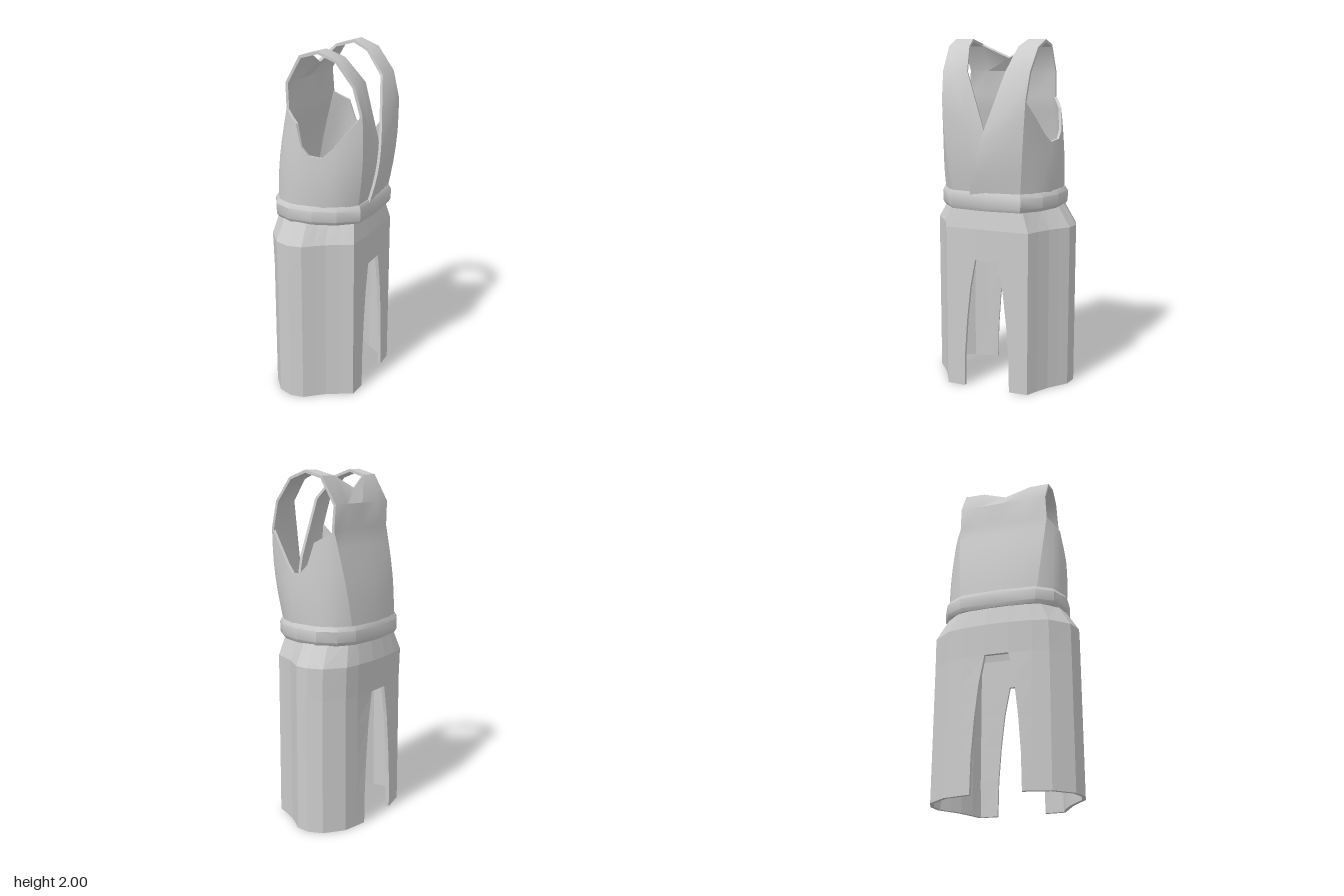
import * as THREE from 'three';
import { toCreasedNormals } from 'three/addons/utils/BufferGeometryUtils.js';

const V = (x, y, z) => new THREE.Vector3(x, y, z);

// Cloth sheet from columns of points, thickened inwards and closed at its borders.
function cloth(name, cols, thick, crease) {
  const n = cols.length, m = cols[0].length, pts = cols.flat();
  let quads = [];
  for (let i = 0; i < n - 1; i++)
    for (let j = 0; j < m - 1; j++)
      quads.push([i * m + j, (i + 1) * m + j, (i + 1) * m + j + 1, i * m + j + 1]);
  const normalsOf = () => {
    const g = new THREE.BufferGeometry().setFromPoints(pts);
    g.setIndex(quads.flatMap(([a, b, c, d]) => [a, b, c, a, c, d]));
    g.computeVertexNormals();
    return pts.map((_, i) => new THREE.Vector3().fromBufferAttribute(g.attributes.normal, i));
  };
  let normals = normalsOf();
  // Turn the sheet so it faces away from the body
  const facing = pts.reduce((s, p, i) => s + normals[i].dot(V(p.x, p.y > 1.7 ? p.y - 1.6 : 0, p.z)), 0);
  if (facing < 0) {
    quads = quads.map(q => q.slice().reverse());
    normals = normalsOf();
  }
  const inner = pts.map((p, i) => p.clone().addScaledVector(normals[i], -thick));
  const k = pts.length, faces = [...quads];
  const edges = new Set(quads.flatMap(q => q.map((a, i) => a + '_' + q[(i + 1) % 4])));
  for (const q of quads) {
    faces.push(q.map(a => a + k).reverse());
    q.forEach((a, i) => {
      const b = q[(i + 1) % 4];
      if (!edges.has(b + '_' + a)) faces.push([b, a, a + k, b + k]);
    });
  }
  return solid(name, [...pts, ...inner], faces, crease);
}

// Mesh from points and four-cornered faces
function solid(name, pts, faces, crease) {
  let g = new THREE.BufferGeometry().setFromPoints(pts);
  g.setIndex(faces.flatMap(([a, b, c, d]) => [a, b, c, a, c, d]));
  if (crease) g = toCreasedNormals(g, crease);
  else g.computeVertexNormals();
  const mat = new THREE.MeshStandardMaterial({ color: 0xcccccc, side: THREE.DoubleSide, flatShading: !crease });
  const mesh = new THREE.Mesh(g, mat);
  mesh.name = name;
  return mesh;
}

// Gently bulging bodice column from the waist up to a top point
function column([bx, bz], [tx, ty, tz]) {
  return Array.from({ length: 7 }, (_, i) => {
    const t = i / 6, s = Math.sin(Math.PI * t), l = THREE.MathUtils.lerp;
    return V(l(bx, tx, t) * (1 + 0.07 * s), l(1.12, ty, t), l(bz, tz, t) * (1 + 0.02 * s));
  });
}
const mirror = (cols, s) => cols.map(c => c.map(p => V(p.x, p.y, p.z * s)));
const midway = (a, b) => a.map((p, i) => p.clone().lerp(b[i], 0.5));

export function createModel() {
  const model = new THREE.Group();
  model.name = 'sleevelessWrapRobe';

  // Skirt: two wide panels separated by tapering slits
  const hip = [[0.24, 0.25], [0.17, 0.285], [0.10, 0.325], [0.05, 0.365], [-0.005, 0.412],
    [-0.085, 0.425], [-0.17, 0.395], [-0.255, 0.29], [-0.275, 0.2]];
  const levels = [[0, 0.14], [0.2, 0.136], [0.4, 0.122], [0.6, 0.1], [0.77, 0.068], [0.95, 0.068], [1.09, 0.068]];
  const hem = (x, y, z) => {
    const t = Math.max(0, (y - 0.95) / 0.14);
    const low = y < 0.95 && x < 0 ? 0.975 : 1;
    return V(x * (1 - 0.1 * t) * low, y, z * (1 - 0.2 * t));
  };
  const panel = [
    levels.map(([y, z]) => hem(0.245, y, z)),
    ...hip.map(([x, z]) => levels.map(([y]) => hem(x, y, z))),
    levels.map(([y, z]) => hem(-0.287, y, z)),
  ];
  model.add(cloth('leftSkirtPanel', panel, 0.02, 0));
  model.add(cloth('rightSkirtPanel', mirror(panel, -1), 0.02, 0));

  // Yoke pieces joining the panels above the slits
  for (const [name, x] of [['frontYoke', 0.245], ['backYoke', -0.287]])
    model.add(cloth(name, [-0.068, 0.068].map(z => [0.77, 0.95, 1.09].map(y => hem(x, y, z))), 0.02, 0));

  // Belt: a bevelled section swept around the waist
  const waist = [[0.252, 0], [0.245, 0.2], [0.15, 0.29], [0.03, 0.337], [-0.1, 0.347], [-0.2, 0.3],
    [-0.255, 0.21], [-0.272, 0]];
  const loop = [...waist, ...waist.slice(1, -1).reverse().map(([x, z]) => [x, -z])];
  const section = [[0.9, 1.065], [1.01, 1.06], [1.05, 1.08], [1.055, 1.14], [1.01, 1.165], [0.9, 1.155]];
  const L = loop.length, S = section.length, beltFaces = [];
  const beltPts = loop.flatMap(([x, z]) => section.map(([f, y]) => V(x * f, y + Math.abs(z) * 0.015, z * f)));
  for (let i = 0; i < L; i++)
    for (let j = 0; j < S; j++) {
      const a = i * S, b = ((i + 1) % L) * S, k = (j + 1) % S;
      beltFaces.push([a + j, a + k, b + k, b + j]);
    }
  model.add(solid('belt', beltPts, beltFaces, 0.6));

  // Back panel, leaning forward at the shoulders
  const backHalf = [
    [...column([-0.275, 0], [-0.168, 1.68, 0]), V(-0.167, 1.82, 0), V(-0.11, 1.9, 0)],
    [...column([-0.268, 0.13], [-0.167, 1.68, 0.15]), V(-0.167, 1.82, 0.15), V(-0.078, 1.97, 0.15)],
    [...column([-0.25, 0.22], [-0.16, 1.68, 0.27]), V(-0.167, 1.82, 0.265), V(-0.08, 1.97, 0.268)],
  ];
  model.add(cloth('backPanel', [...mirror(backHalf.slice(1), -1).reverse(), ...backHalf], 0.016, 0.6));

  // Side panels, cut low under the arms
  const side = [
    [[-0.25, 0.22], [-0.16, 1.68, 0.27]],
    [[-0.2, 0.3], [-0.12, 1.65, 0.3]],
    [[-0.13, 0.335], [-0.07, 1.62, 0.33]],
    [[-0.06, 0.345], [-0.035, 1.5, 0.345]],
    [[0.02, 0.335], [0.01, 1.455, 0.345]],
    [[0.08, 0.32], [0.08, 1.445, 0.325]],
    [[0.14, 0.29], [0.13, 1.49, 0.305]],
    [[0.19, 0.25], [0.2, 1.58, 0.28]],
    [[0.235, 0.2], [0.28, 1.68, 0.245]],
  ].map(([b, t]) => column(b, t));
  model.add(cloth('leftSide', side, 0.016, 0.6));
  model.add(cloth('rightSide', mirror(side, -1), 0.016, 0.6));

  // Front panels crossing at the chest and running over the shoulders as straps
  const front = (name, s, overlap, lift) => {
    const outer = [...column([0.235, 0.2], [0.28, 1.68, 0.245]), V(0.24, 1.83, 0.255),
      V(0.14, 1.96, 0.265), V(0.03, 2, 0.27), V(-0.08, 1.97, 0.268)];
    const inner = [...column([0.24 + lift, -overlap], [0.272 + lift, 1.5, 0]), V(0.235, 1.83, 0.112),
      V(0.13, 1.96, 0.145), V(0.03, 2, 0.166), V(-0.078, 1.97, 0.15)];
    model.add(cloth(name, mirror([outer, midway(outer, inner), inner], s), 0.016, 0.6));
  };
  front('rightFrontWrap', -1, 0.1, 0.012);
  front('leftFrontWrap', 1, 0.06, -0.008);
  return model;
}
